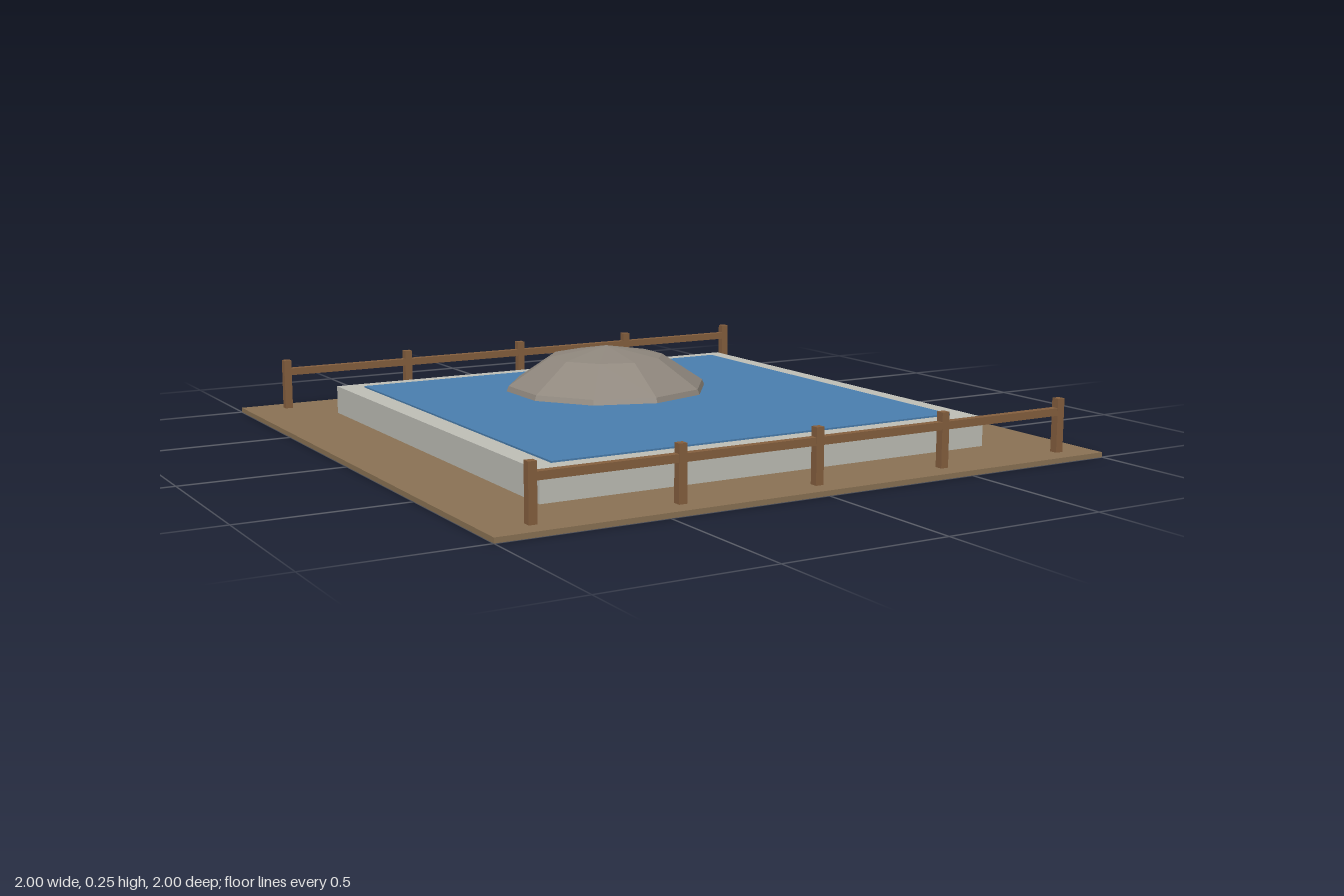
import * as THREE from 'three';

const mat = (name, color, flatShading = false) => {
  const m = new THREE.MeshStandardMaterial({ color, flatShading });
  m.name = name;
  return m;
};

export function createModel() {
  const earth = mat('earth', 0x8b7355);
  const stone = mat('pale stone', 0xc0c0b8);
  const blue = mat('water blue', 0x4a7fb0);
  const grey = mat('rock grey', 0x8f877d, true);
  const wood = mat('wood', 0x86603f);

  const model = new THREE.Group();
  model.name = 'pond';

  // Box standing on the height y
  const box = (name, parent, material, w, h, d, x, y, z) => {
    const mesh = new THREE.Mesh(new THREE.BoxGeometry(w, h, d), material);
    mesh.name = name;
    mesh.position.set(x, y + h / 2, z);
    parent.add(mesh);
  };

  // Ground, raised basin and water surface
  box('ground', model, earth, 2, 0.015, 2, 0, 0, 0);
  box('basin', model, stone, 1.5, 0.09, 1.5, 0, 0.015, 0);
  box('water', model, blue, 1.36, 0.006, 1.36, 0, 0.104, 0);

  // Rock: faceted, flattened dome rising out of the water
  const dome = new THREE.SphereGeometry(0.375, 10, 3, 0, Math.PI * 2, 0, Math.PI / 2);
  dome.rotateY(Math.PI / 2);
  dome.scale(1, 2 / 3, 1);
  const rock = new THREE.Mesh(dome, grey);
  rock.name = 'rock';
  rock.position.set(0, 0.002, -0.25);
  model.add(rock);

  // Fences along the front and back: five posts and one rail each
  for (const side of [1, -1]) {
    const fence = new THREE.Group();
    fence.name = side > 0 ? 'frontFence' : 'backFence';
    fence.position.z = side * 0.925;
    for (let i = 0; i < 5; i++) {
      box('post', fence, wood, 0.025, 0.163, 0.025, -0.8625 + i * 0.4375, 0.015, 0);
    }
    box('rail', fence, wood, 1.75, 0.023, 0.024, 0.0125, 0.127, 0);
    model.add(fence);
  }
  return model;
}
